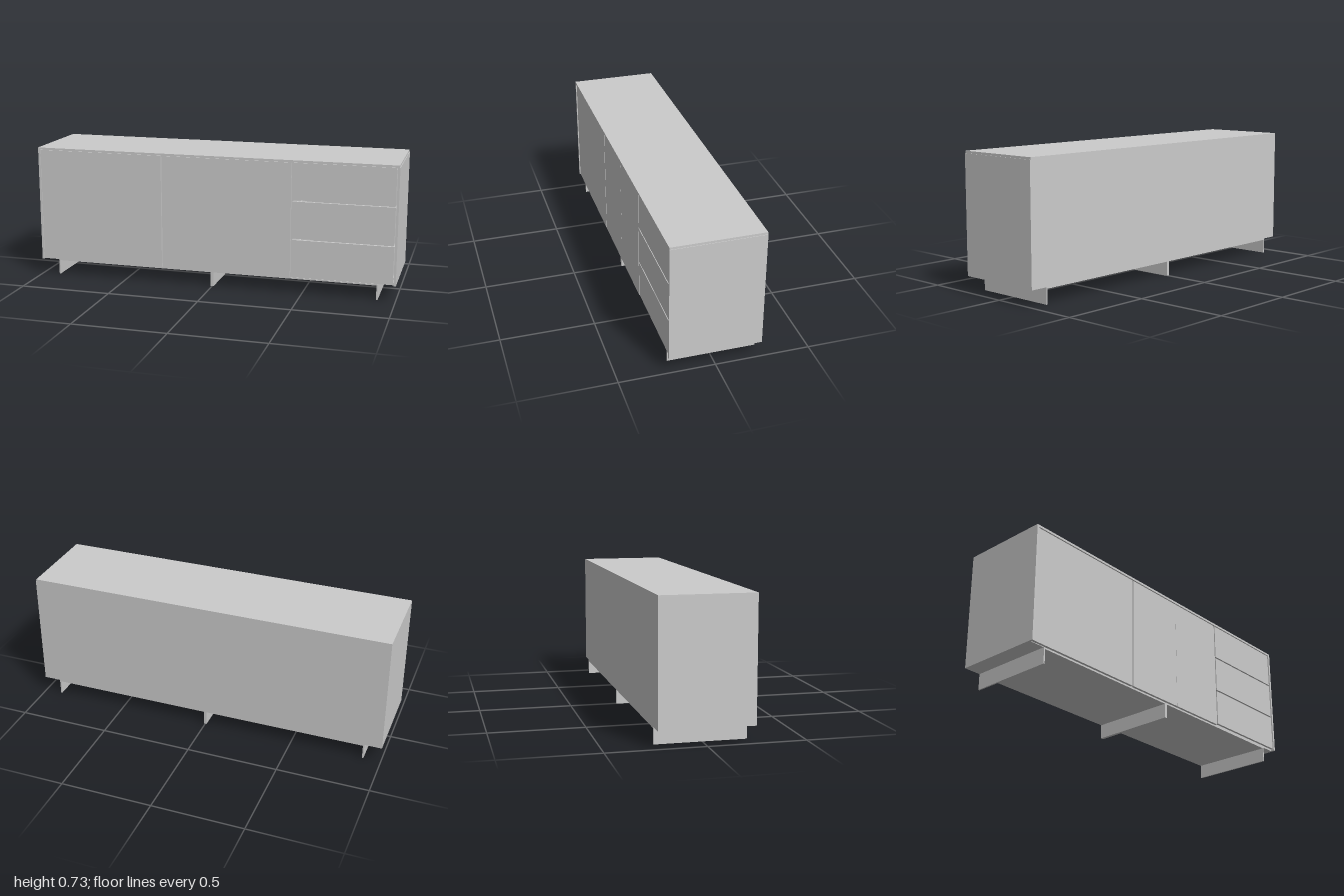
import * as THREE from 'three';

export function createModel() {
  const model = new THREE.Group();
  const material = new THREE.MeshStandardMaterial({ color: 0xcccccc, flatShading: true });

  // Box given by its limits on each axis
  const panel = (name, [x0, x1], [y0, y1], [z0, z1], parent = model) => {
    const mesh = new THREE.Mesh(new THREE.BoxGeometry(x1 - x0, y1 - y0, z1 - z0), material);
    mesh.name = name;
    mesh.position.set((x0 + x1) / 2, (y0 + y1) / 2, (z0 + z1) / 2);
    parent.add(mesh);
    return mesh;
  };

  const back = -0.243, front = 0.243, bottom = 0.087, top = 0.728, t = 0.012;
  const innerY = [bottom + t, top - t];

  // Cabinet shell
  const carcass = new THREE.Group();
  carcass.name = 'carcass';
  model.add(carcass);
  panel('topPanel', [-1, 0.997], [top - t, top], [back, front], carcass);
  panel('bottomPanel', [-1 + t, 1 - t], [bottom, bottom + t], [back, 0.222], carcass);
  panel('rightSide', [-1, -1 + t], [bottom, top - t], [back, front], carcass);
  panel('leftSide', [1 - t, 1], [bottom, top - t], [back, front], carcass);
  panel('backPanel', [-1 + t, 1 - t], innerY, [back, back + t], carcass);

  // Upright dividers behind the joints of the fronts
  for (const x of [-0.28, 0.08, 0.44])
    panel('divider', [x - t / 2, x + t / 2], innerY, [back + t, 0.222], carcass);

  // Doors, set slightly back from the shell edges
  const frontZ = [0.224, 0.238], gap = 0.004;
  const doorY = [0.089, top - t - 0.002];
  panel('sideDoor', [-1 + t, -0.28 - gap], doorY, frontZ);
  panel('middleDoorRight', [-0.28 + gap, 0.0795], doorY, frontZ);
  panel('middleDoorLeft', [0.0805, 0.44 - gap], doorY, frontZ);

  // Three drawers: a front and an open-topped tray each
  const levels = [0.093, 0.302, 0.511, top - t + 0.002];
  for (let i = 0; i < 3; i++) {
    const drawer = new THREE.Group();
    drawer.name = 'drawer';
    model.add(drawer);
    const y0 = levels[i] + gap, y1 = levels[i + 1] - gap;
    panel('drawerFront', [0.44 + gap, 0.984], [y0, y1], frontZ, drawer);
    const trayY = [y0 + 0.012, y1 - 0.03];
    panel('trayBase', [0.46, 0.975], [trayY[0], trayY[0] + 0.008], [-0.2, 0.224], drawer);
    panel('trayBack', [0.46, 0.975], trayY, [-0.208, -0.2], drawer);
    panel('traySide', [0.46, 0.468], trayY, [-0.2, 0.224], drawer);
    panel('traySide', [0.967, 0.975], trayY, [-0.2, 0.224], drawer);
  }

  // Base: thin plate carrying three upright blades
  const base = new THREE.Group();
  base.name = 'base';
  model.add(base);
  const baseZ = [back, 0.225];
  panel('basePlate', [-0.906, 0.906], [0.079, bottom], baseZ, base);
  for (const [x, w] of [[-0.902, 0.008], [0, 0.016], [0.902, 0.008]])
    panel('leg', [x - w / 2, x + w / 2], [0, 0.079], baseZ, base);

  return model;
}
